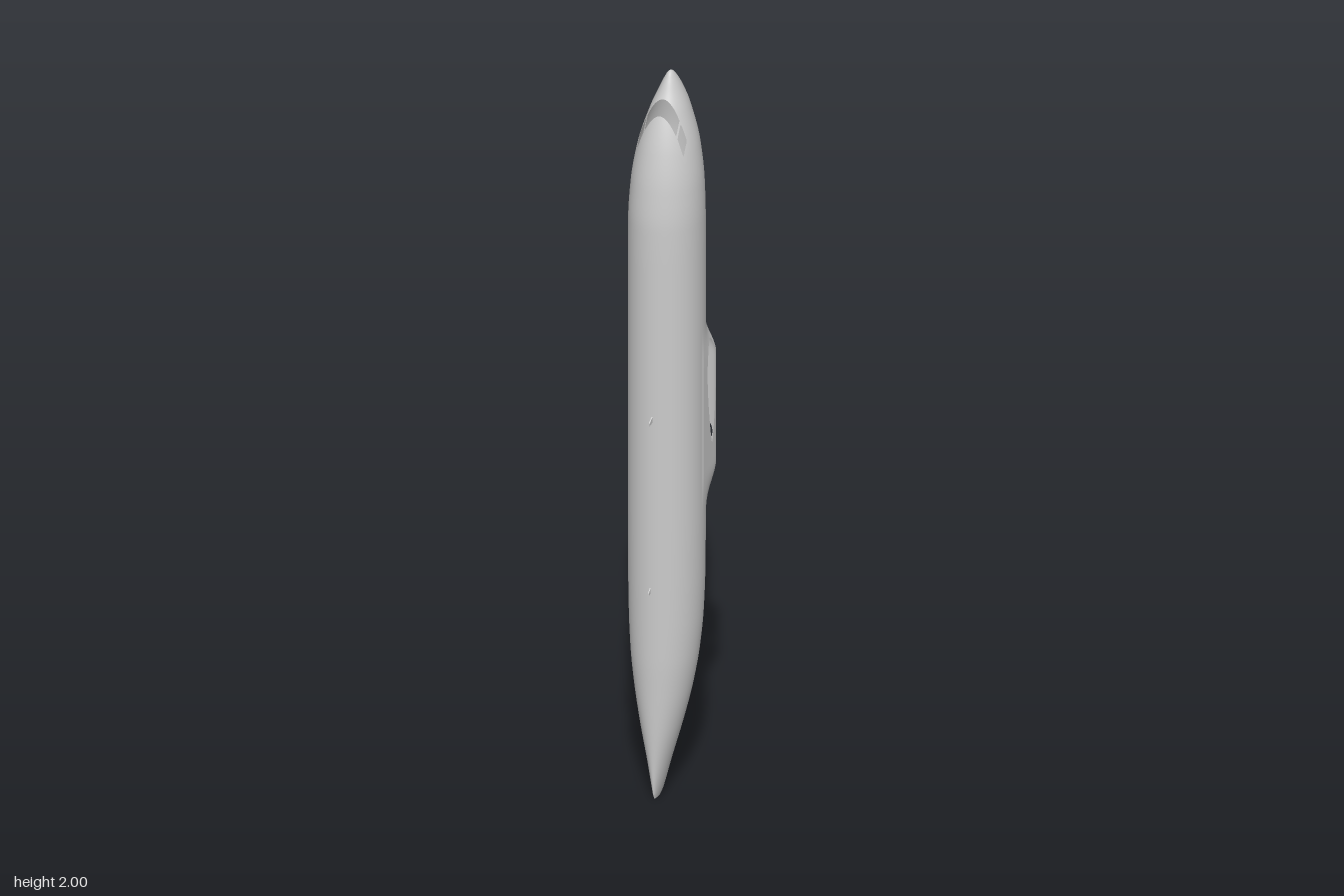
import * as THREE from 'three';

const material = new THREE.MeshStandardMaterial({ color: 0xcccccc, side: THREE.DoubleSide });

// Hull stations: height, half width, z of the roof line, z of the belly line
const STATIONS = [
  [0, 0.003, 0.078, 0.04], [0.015, 0.007, 0.084, 0.024], [0.1, 0.027, 0.093, -0.008],
  [0.2, 0.052, 0.099, -0.038], [0.3, 0.073, 0.102, -0.065], [0.4, 0.087, 0.104, -0.085],
  [0.5, 0.094, 0.104, -0.098], [0.62, 0.097, 0.104, -0.104], [0.8, 0.098, 0.104, -0.105],
  [1.5, 0.098, 0.104, -0.105], [1.6, 0.0975, 0.103, -0.105], [1.7, 0.093, 0.094, -0.105],
  [1.8, 0.079, 0.074, -0.101], [1.9, 0.05, 0.039, -0.085], [1.95, 0.03, 0.011, -0.066],
  [1.98, 0.016, -0.005, -0.048], [1.995, 0.007, -0.015, -0.035], [2, 0.001, -0.024, -0.026],
];

// Smooth cubic interpolation of one station column
function station(y, k) {
  let i = 0;
  while (i < STATIONS.length - 2 && y > STATIONS[i + 1][0]) i++;
  const slope = (a, b) => (STATIONS[b][k] - STATIONS[a][k]) / (STATIONS[b][0] - STATIONS[a][0]);
  const tangent = (n) => {
    if (n === 0) return slope(0, 1);
    if (n === STATIONS.length - 1) return slope(n - 1, n);
    const s = slope(n - 1, n), t = slope(n, n + 1);
    return s * t <= 0 ? 0 : (2 * s * t) / (s + t);
  };
  const [y0, y1] = [STATIONS[i][0], STATIONS[i + 1][0]];
  const h = y1 - y0, t = (y - y0) / h, t2 = t * t, t3 = t2 * t;
  return (2 * t3 - 3 * t2 + 1) * STATIONS[i][k] + (t3 - 2 * t2 + t) * h * tangent(i)
    + (3 * t2 - 2 * t3) * STATIONS[i + 1][k] + (t3 - t2) * h * tangent(i + 1);
}

// Point on the skin: elliptical tube swelling into the boxy belly fairing
function skinPoint(y, angle, scale = 1) {
  const w = station(y, 1), zf = station(y, 2), zb = station(y, 3);
  const zc = (zf + zb) / 2, d = (zf - zb) / 2;
  const s = Math.sin(angle), c = Math.cos(angle);
  let x = w * s, z = d * c;
  const blend = THREE.MathUtils.smoothstep(y, 0.77, 0.9) * (1 - THREE.MathUtils.smoothstep(y, 1.2, 1.31));
  if (c < 0 && blend > 0) {
    const r = Math.hypot(x, z), dx = Math.abs(x) / r, dz = -z / r;
    const side = dx / 0.1, belly = (dz + 0.2 * dx) / 0.116;
    const box = Math.pow(side ** 16 + belly ** 16, -1 / 16);
    const k = 1 + (blend * Math.max(0, box - r)) / r;
    x *= k;
    z *= k;
  }
  return new THREE.Vector3(x * scale, y, zc + z * scale);
}

// Openings: each is negative inside the hole
function wingRoot({ x, y, z }) {
  if (Math.abs(x) < 0.05) return 1;
  const u = (1.25 - y) / 0.3;
  if (u <= 0 || u >= 1) return Math.max(-u, u - 1) * 0.3 + 0.0005;
  const h = 0.28 * (0.2969 * Math.sqrt(u) - 0.126 * u - 0.3516 * u ** 2 + 0.2843 * u ** 3 - 0.1036 * u ** 4);
  return Math.abs(z + 0.058) - h;
}
function wheelBay({ x, y, z }) {
  return z > -0.08 ? 1 : Math.hypot(Math.abs(x) - 0.05, y - 0.97) - 0.033;
}
function windscreen({ x, y, z }) {
  if (y < 1.78 || z < -0.01) return 1;
  const ax = Math.abs(x), band = Math.abs(z - 0.03) - 0.0105;
  const front = Math.max(band, ax - 0.044);
  const side = Math.max(band, Math.abs(ax - 0.056) - 0.0085);
  return Math.min(front, side);
}
const opening = (p) => Math.min(wingRoot(p), wheelBay(p), windscreen(p));

// Trim a triangle against the openings, returning the remaining corners
function trim(corners) {
  const kept = [];
  corners.forEach((a, i) => {
    const b = corners[(i + 1) % 3];
    if (a.f >= 0) kept.push(a);
    if (a.f >= 0 !== b.f >= 0) {
      const t = a.f / (a.f - b.f);
      kept.push({ p: a.p.clone().lerp(b.p, t), n: a.n.clone().lerp(b.n, t).normalize() });
    }
  });
  return kept;
}

function fuselageGeometry() {
  const rows = 220, sides = 160;
  const points = [], index = [];
  for (let i = 0; i <= rows + 2; i++) {
    const t = THREE.MathUtils.clamp((i - 1) / rows, 0, 1);
    const y = 1 - Math.cos(Math.PI * t);
    const scale = i === 0 || i === rows + 2 ? 0 : 1; // closed tips
    for (let j = 0; j < sides; j++) points.push(skinPoint(y, (j / sides) * Math.PI * 2, scale));
  }
  for (let i = 0; i < rows + 2; i++) {
    for (let j = 0; j < sides; j++) {
      const k = (j + 1) % sides, lo = i * sides, hi = lo + sides;
      index.push(lo + j, lo + k, hi + k, lo + j, hi + k, hi + j);
    }
  }
  const grid = new THREE.BufferGeometry().setFromPoints(points);
  grid.setIndex(index);
  grid.computeVertexNormals();
  const normals = grid.getAttribute('normal');
  const corners = points.map((p, i) => ({ p, n: new THREE.Vector3().fromBufferAttribute(normals, i), f: opening(p) }));

  const position = [], normal = [];
  for (let i = 0; i < index.length; i += 3) {
    const poly = trim([corners[index[i]], corners[index[i + 1]], corners[index[i + 2]]]);
    for (let j = 1; j + 1 < poly.length; j++) {
      for (const v of [poly[0], poly[j], poly[j + 1]]) {
        position.push(v.p.x, v.p.y, v.p.z);
        normal.push(v.n.x, v.n.y, v.n.z);
      }
    }
  }
  const geometry = new THREE.BufferGeometry();
  geometry.setAttribute('position', new THREE.Float32BufferAttribute(position, 3));
  geometry.setAttribute('normal', new THREE.Float32BufferAttribute(normal, 3));
  return geometry;
}

// Thin swept blade; dir is +1 on the roof and -1 on the belly
function bladeAntenna(x, y, z, dir, height) {
  const shape = new THREE.Shape([
    new THREE.Vector2(0, 0.008), new THREE.Vector2(0, -0.008),
    new THREE.Vector2(dir * height, -0.011), new THREE.Vector2(dir * height, -0.004),
  ]);
  const geometry = new THREE.ExtrudeGeometry(shape, { depth: 0.003, bevelEnabled: false });
  geometry.translate(0, 0, -0.0015).rotateY(-Math.PI / 2);
  const blade = new THREE.Mesh(geometry, material);
  blade.position.set(x, y, z);
  return blade;
}

export function createModel() {
  const model = new THREE.Group();
  const fuselage = new THREE.Mesh(fuselageGeometry(), material);
  fuselage.name = 'fuselage';
  model.add(fuselage);

  // Roof and belly antennas
  const antennas = new THREE.Group();
  antennas.name = 'antennas';
  antennas.add(
    bladeAntenna(0.005, 1.075, 0.102, 1, 0.02), bladeAntenna(0, 0.595, 0.102, 1, 0.013),
    bladeAntenna(0, 1.55, -0.103, -1, 0.017), bladeAntenna(0, 0.825, -0.105, -1, 0.014),
  );
  model.add(antennas);

  // Small blister under the tail
  const blister = new THREE.Mesh(new THREE.SphereGeometry(1, 24, 16), material);
  blister.name = 'tailBlister';
  blister.scale.set(0.009, 0.034, 0.006);
  blister.position.set(0, 0.19, -0.034);
  blister.rotation.x = 0.28;
  model.add(blister);
  return model;
}
